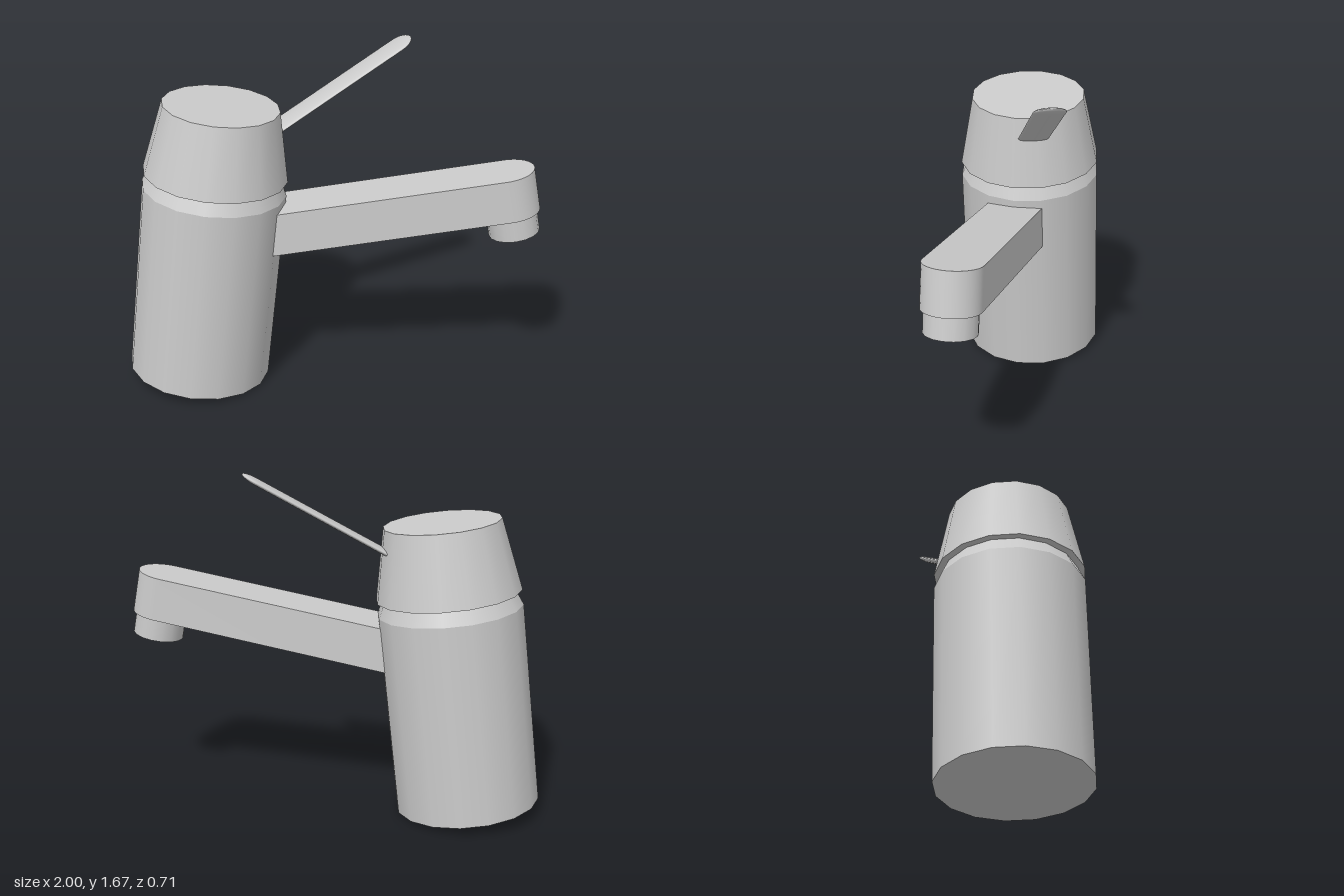
import * as THREE from 'three';
import { toCreasedNormals } from 'three/addons/utils/BufferGeometryUtils.js';

const material = new THREE.MeshStandardMaterial({ color: 0xcccccc });
const Z = 0.006; // shared centre line of body and spout

function addPart(parent, name, geometry) {
  const mesh = new THREE.Mesh(geometry, material);
  mesh.name = name;
  parent.add(mesh);
  return mesh;
}

// Sixteen-sided drum standing between two heights
function drum(rTop, rBottom, y0, y1, open = false) {
  return new THREE.CylinderGeometry(rTop, rBottom, y1 - y0, 16, 1, open).translate(0, (y0 + y1) / 2, 0);
}

export function createModel() {
  const model = new THREE.Group();
  model.name = 'faucet';

  // Leaning body with bevelled shoulder and tapered cap
  const body = new THREE.Group();
  body.name = 'body';
  body.position.set(-0.657, 0.0375, Z);
  body.rotation.z = -0.108;
  model.add(body);
  addPart(body, 'bodyColumn', drum(0.346, 0.346, 0, 0.972));
  addPart(body, 'shoulder', drum(0.314, 0.346, 0.972, 1.043, true));
  addPart(body, 'cap', drum(0.279, 0.346, 1.043, 1.387));

  // Rising spout: a bar with a half-round end, its origin at the outlet centre
  const spout = new THREE.Group();
  spout.name = 'spout';
  spout.position.set(0.86, 0.911, Z);
  spout.rotation.z = 0.176;
  model.add(spout);
  const r = 0.137;
  const outline = new THREE.Shape();
  outline.moveTo(-1.35, -r);
  outline.lineTo(0, -r);
  outline.absarc(0, 0, r, -Math.PI / 2, Math.PI / 2, false);
  outline.lineTo(-1.35, r);
  outline.closePath();
  const bar = new THREE.ExtrudeGeometry(outline, { depth: 0.208, bevelEnabled: false, curveSegments: 12 });
  addPart(spout, 'spoutBar', toCreasedNormals(bar.rotateX(-Math.PI / 2), 0.6));
  addPart(spout, 'outlet', drum(0.122, 0.122, -0.107, 0.01));

  // Flat rounded lever rising out of the side of the cap
  const lever = new THREE.Group();
  lever.name = 'lever';
  lever.position.set(0.304, 1.63, -0.286);
  lever.rotation.set(0, 0.35, 0.527, 'YZX');
  model.add(lever);
  const length = 0.76;
  const blade = new THREE.CapsuleGeometry(0.075, length, 8, 24);
  blade.rotateZ(-Math.PI / 2).translate(-length / 2, 0, 0).scale(1, 0.2, 1);
  addPart(lever, 'leverBlade', blade);

  return model;
}
